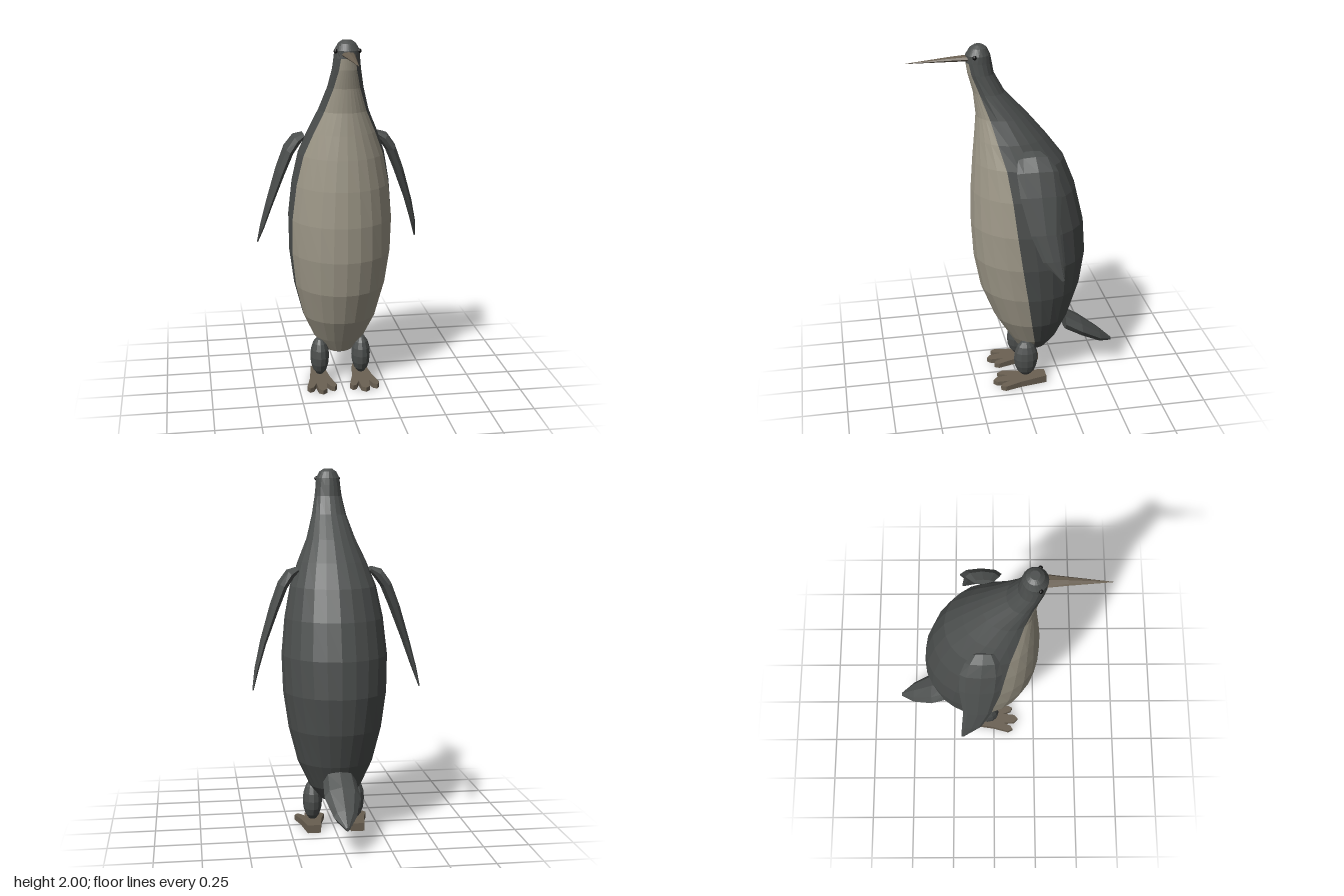
import * as THREE from 'three';

const material = (color) => new THREE.MeshStandardMaterial({ color, flatShading: true, side: THREE.DoubleSide });
const V = (x, y, z) => new THREE.Vector3(x, y, z);

// Ring of n points: centre + u cos + v sin
function ring(c, u, v, n) {
  return Array.from({ length: n }, (_, i) => {
    const a = (i / n) * Math.PI * 2;
    return c.clone().addScaledVector(u, Math.cos(a)).addScaledVector(v, Math.sin(a));
  });
}

// Skin over a row of rings; ends may be capped with fans
function loft(rings, { closed = true, capStart = true, capEnd = true } = {}) {
  const pos = [];
  const tri = (...pts) => pts.forEach((p) => pos.push(p.x, p.y, p.z));
  const n = rings[0].length;
  const m = closed ? n : n - 1;
  for (let i = 0; i < rings.length - 1; i++) {
    for (let j = 0; j < m; j++) {
      const k = (j + 1) % n;
      const [a, b, c, d] = [rings[i][j], rings[i][k], rings[i + 1][j], rings[i + 1][k]];
      tri(a, b, c);
      tri(b, d, c);
    }
  }
  const cap = (r, flip) => {
    const mid = r.reduce((s, p) => s.add(p), V(0, 0, 0)).divideScalar(n);
    for (let j = 0; j < n; j++) {
      const [a, b] = [r[j], r[(j + 1) % n]];
      flip ? tri(mid, b, a) : tri(mid, a, b);
    }
  };
  if (capStart) cap(rings[0], true);
  if (capEnd) cap(rings[rings.length - 1], false);
  const g = new THREE.BufferGeometry();
  g.setAttribute('position', new THREE.Float32BufferAttribute(pos, 3));
  g.computeVertexNormals();
  return g;
}

export function createModel() {
  const model = new THREE.Group();
  const dark = material(0x4c4f4e);
  const pale = material(0xa09a8a);
  const horn = material(0x6a6052);
  const black = material(0x101010);
  const add = (name, geometry, mat, parent = model) => {
    const mesh = new THREE.Mesh(geometry, mat);
    mesh.name = name;
    parent.add(mesh);
    return mesh;
  };

  // Body sections: y, half width, front z, back z, half angle of the pale belly in degrees
  const sections = [
    [0.19, 0.08, -0.01, -0.18, 88], [0.27, 0.145, 0.04, -0.24, 85], [0.41, 0.21, 0.125, -0.305, 82],
    [0.6, 0.258, 0.2, -0.365, 79], [0.8, 0.285, 0.238, -0.392, 75], [1.0, 0.29, 0.25, -0.378, 72],
    [1.2, 0.27, 0.246, -0.33, 70], [1.37, 0.236, 0.234, -0.262, 67], [1.5, 0.188, 0.222, -0.163, 62],
    [1.62, 0.136, 0.213, -0.062, 56], [1.75, 0.096, 0.226, 0.06, 47], [1.85, 0.076, 0.253, 0.115, 38],
    [1.91, 0.069, 0.262, 0.125, 34],
    [1.95, 0.066, 0.262, 0.133, 50], [1.985, 0.047, 0.24, 0.15, 60], [2.0, 0.025, 0.218, 0.17, 65],
  ];
  const BELLY = 10, BACK = 14, NECK = 12;
  const rings = sections.map(([y, w, zf, zb, deg]) => {
    const a = THREE.MathUtils.degToRad(deg);
    return Array.from({ length: BELLY + BACK }, (_, i) => {
      const t = i <= BELLY ? -a + (2 * a * i) / BELLY : a + ((2 * Math.PI - 2 * a) * (i - BELLY)) / BACK;
      return V(w * Math.sin(t), y, (zf + zb) / 2 + ((zf - zb) / 2) * Math.cos(t));
    });
  });
  const trunk = rings.slice(0, NECK + 1);
  const open = { closed: false, capStart: false, capEnd: false };
  add('belly', loft(trunk.map((r) => r.slice(0, BELLY + 1)), open), pale);
  add('back', loft(trunk.map((r) => [...r.slice(BELLY), r[0]]), open), dark);
  add('head', loft(rings.slice(NECK), { capStart: false }), dark);
  add('underside', loft([rings[0].map((p) => V(p.x * 0.8, p.y - 0.008, p.z * 0.8 - 0.019)), rings[0]], { capEnd: false }), dark);

  // Long pointed beak: z, y, half width, half height
  const beak = [[0.235, 1.932, 0.037, 0.016], [0.35, 1.928, 0.024, 0.012], [0.572, 1.917, 0.001, 0.001]];
  add('beak', loft(beak.map(([z, y, w, h]) => ring(V(0, y, z), V(w, 0, 0), V(0, h, 0), 8))), horn);

  // Tail: z, lower y, upper y, half width
  const tail = [[-0.285, 0.275, 0.39, 0.09], [-0.385, 0.222, 0.327, 0.096], [-0.5, 0.163, 0.238, 0.062], [-0.578, 0.148, 0.168, 0.01]];
  add('tail', loft(tail.map(([z, lo, hi, w]) =>
    ring(V(0, (lo + hi) / 2, z), V(0, (hi - lo) / 2, 0), V(w, 0, 0), 8))), dark);

  // Wing sections: x, y, front z, back z, half thickness
  const wing = [
    [0.2, 1.463, 0.0, -0.11, 0.015], [0.24, 1.44, 0.03, -0.15, 0.03], [0.283, 1.38, 0.042, -0.178, 0.03],
    [0.33, 1.26, 0.032, -0.185, 0.026], [0.393, 1.07, -0.013, -0.167, 0.018],
    [0.432, 0.93, -0.07, -0.177, 0.012], [0.456, 0.825, -0.165, -0.183, 0.004],
  ];
  const wingRings = wing.map(([x, y, zf, zb, t], i) => {
    const p = wing[Math.max(i - 1, 0)], q = wing[Math.min(i + 1, wing.length - 1)];
    const n = V(p[1] - q[1], q[0] - p[0], 0).setLength(t);
    return ring(V(x, y, (zf + zb) / 2), n, V(0, 0, (zf - zb) / 2), 8);
  });
  const wingGeometry = loft(wingRings);

  // Webbed foot outline (x, forward): narrow heel, three toes; the top slopes down to the front
  const outline = [
    [-0.036, -0.155], [0.036, -0.155], [0.06, 0.0], [0.085, 0.09], [0.07, 0.118], [0.048, 0.105],
    [0.03, 0.06], [0.024, 0.13], [0, 0.152], [-0.024, 0.13], [-0.03, 0.06],
    [-0.048, 0.105], [-0.07, 0.118], [-0.085, 0.09], [-0.06, 0.0],
  ];
  const footGeometry = new THREE.ExtrudeGeometry(
    new THREE.Shape(outline.map(([x, f]) => new THREE.Vector2(x, -f))), { depth: 1, bevelEnabled: false });
  footGeometry.rotateX(-Math.PI / 2);
  const fp = footGeometry.attributes.position;
  for (let i = 0; i < fp.count; i++) fp.setY(i, fp.getY(i) * (0.035 - 0.065 * fp.getZ(i)));
  footGeometry.computeVertexNormals();

  const legGeometry = new THREE.SphereGeometry(1, 12, 8).scale(0.055, 0.115, 0.07);
  const eyeGeometry = new THREE.SphereGeometry(0.012, 8, 6);

  // Paired parts, mirrored across x
  for (const [side, s] of [['left', 1], ['right', -1]]) {
    const half = new THREE.Group();
    half.name = side + 'Side';
    half.scale.x = s;
    add(side + 'Wing', wingGeometry, dark, half);
    add(side + 'Leg', legGeometry, dark, half).position.set(0.12, 0.16, -0.04);
    add(side + 'Foot', footGeometry, horn, half).position.x = 0.123;
    add(side + 'Eye', eyeGeometry, black, half).position.set(0.061, 1.947, 0.222);
    model.add(half);
  }
  return model;
}
